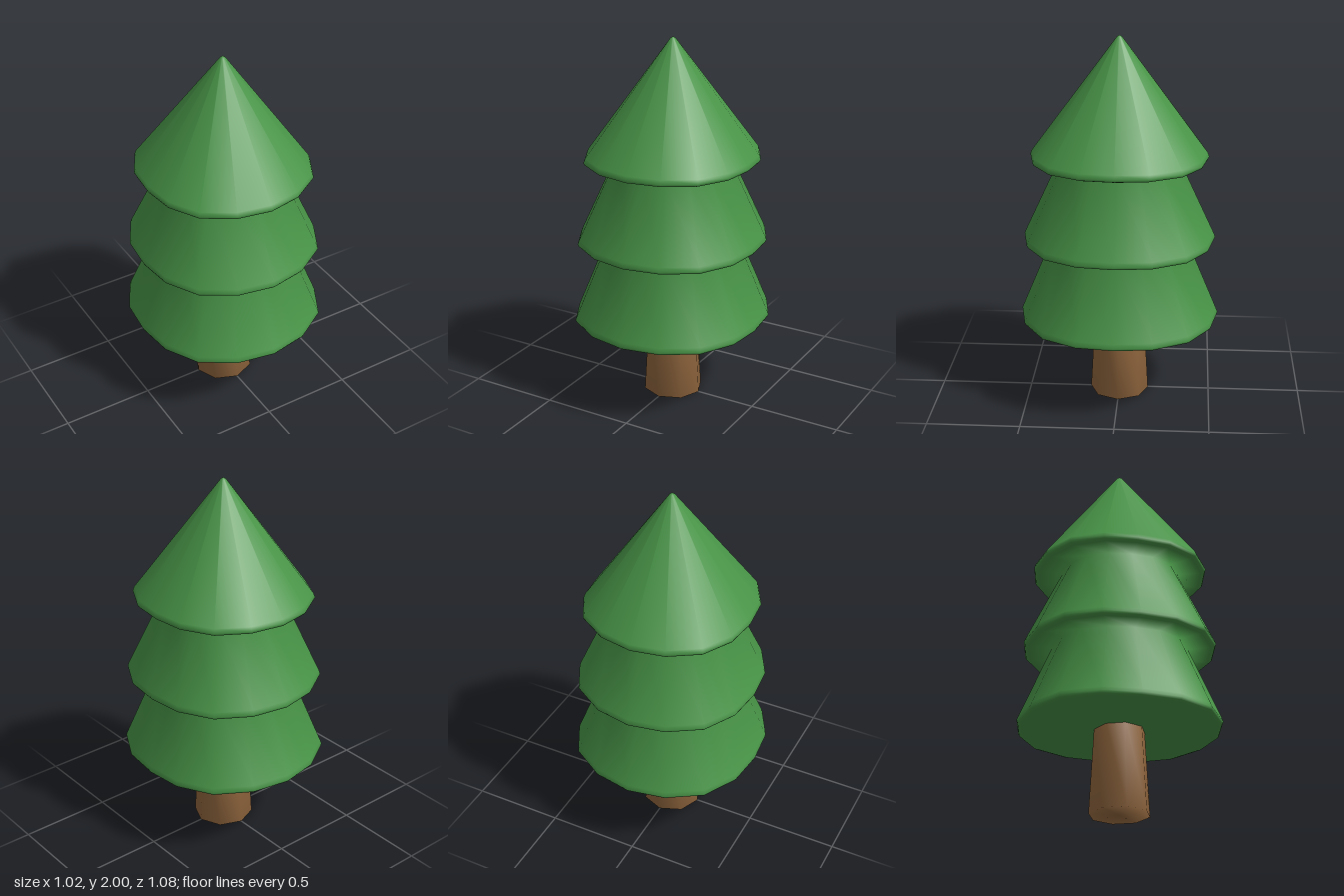
import * as THREE from 'three';
import { mergeVertices } from 'three/addons/utils/BufferGeometryUtils.js';

const SIDES = 16;
// Horizontal radius at 0, 22.5, 45, 67.5 and 90 degrees from the z axis
const OUTLINE = [0.54, 0.542, 0.548, 0.528, 0.51];

function outlineRadius(angle) {
  const step = Math.round(angle / (Math.PI / 8)) & 7;
  return OUTLINE[step <= 4 ? step : 8 - step] / 0.51;
}

// Spin a profile, then share vertices so shading flows around every edge
function smoothLathe(profile, sides, radiusAt) {
  const geo = new THREE.LatheGeometry(profile.map(([r, y]) => new THREE.Vector2(r, y)), sides);
  const pos = geo.attributes.position;
  for (let i = 0; i < pos.count; i++) {
    const x = pos.getX(i), z = pos.getZ(i);
    const k = radiusAt(Math.atan2(Math.abs(x), z));
    pos.setX(i, x * k);
    pos.setZ(i, z * k);
  }
  geo.deleteAttribute('normal');
  geo.deleteAttribute('uv');
  const merged = mergeVertices(geo, 1e-4);
  merged.computeVertexNormals();
  return merged;
}

export function createModel() {
  const leafGreen = new THREE.MeshStandardMaterial({ color: 0x489447 });
  leafGreen.name = 'leafGreen';
  const barkBrown = new THREE.MeshStandardMaterial({ color: 0x93683f });
  barkBrown.name = 'barkBrown';

  const tree = new THREE.Group();
  tree.name = 'tree';

  // Foliage: three stacked skirts with rounded rims, as one continuous skin
  const tiers = [
    { rim: 0.51, base: 0.45, neck: 0.345, top: 0.89 },
    { rim: 0.488, base: 0.89, neck: 0.3, top: 1.34 },
    { rim: 0.448, base: 1.34, neck: 0.014, top: 1.99 },
  ];
  const profile = [[0, 0.45]];
  for (const { rim, base, neck, top } of tiers) {
    profile.push(
      [rim - 0.025, base],
      [rim - 0.006, base + 0.007],
      [rim, base + 0.02],
      [rim - 0.008, base + 0.042],
      [neck, top],
    );
  }
  profile.push([0, 2]);
  const foliage = new THREE.Mesh(smoothLathe(profile, SIDES, outlineRadius), leafGreen);
  foliage.name = 'foliage';
  tree.add(foliage);

  // Trunk: tapered octagon, closed underneath
  const trunk = new THREE.Mesh(
    smoothLathe([[0, 0], [0.165, 0], [0.139, 0.46]], 8, () => 1),
    barkBrown,
  );
  trunk.name = 'trunk';
  trunk.scale.z = 0.97;
  tree.add(trunk);

  return tree;
}
